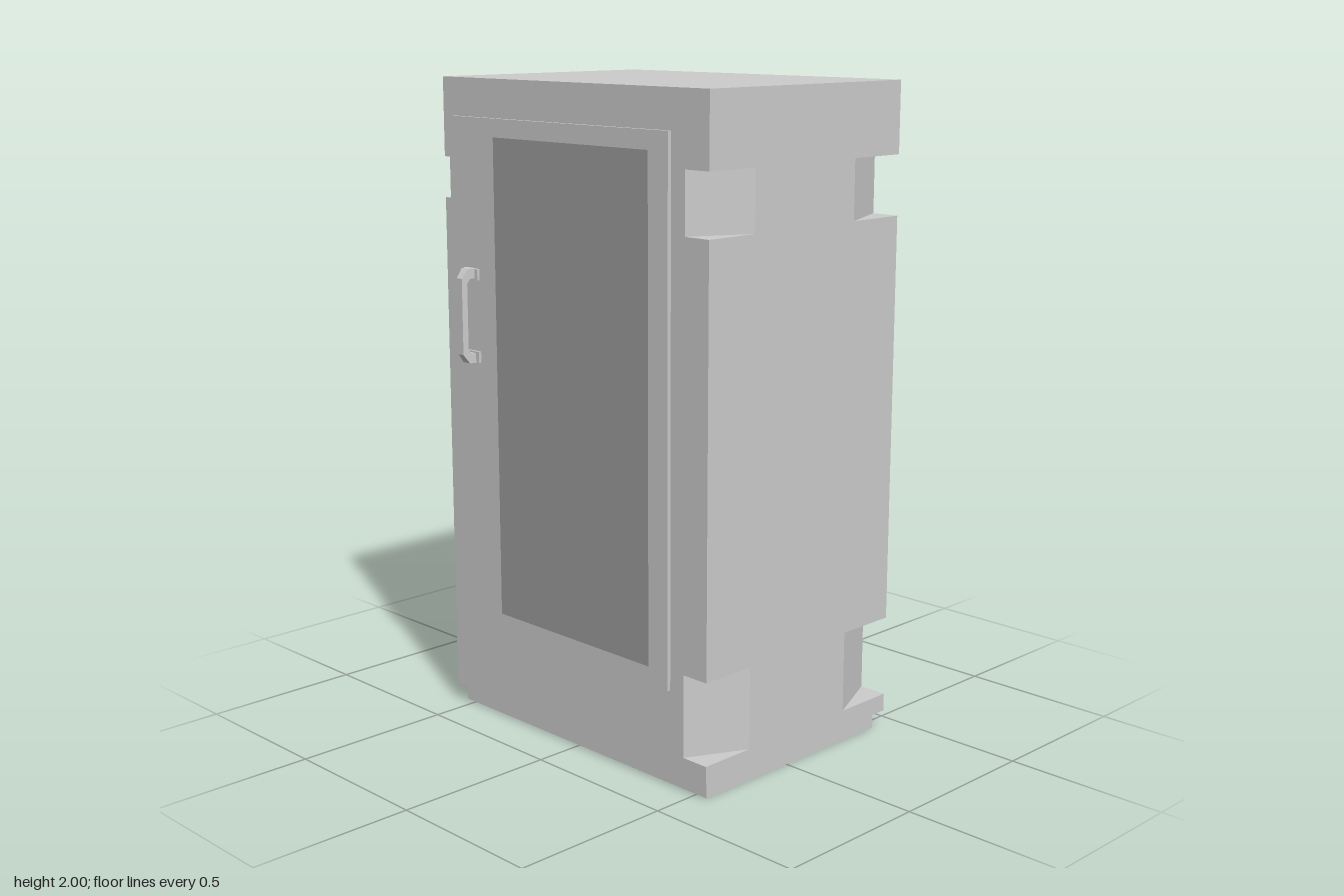
import * as THREE from 'three';
import { mergeGeometries } from 'three/addons/utils/BufferGeometryUtils.js';

const grey = new THREE.MeshStandardMaterial({ color: 0xcccccc });
const darkGrey = new THREE.MeshStandardMaterial({ color: 0x9e9e9e });

// Body half sizes, height range and z centre
const X = 0.56, Z = 0.4, Y0 = 0.055, Y1 = 2, ZC = -0.0325;
const FRONT = ZC + Z, DOOR_FRONT = FRONT + 0.012;

function add(parent, name, geometry, material = grey) {
  const mesh = new THREE.Mesh(geometry, material);
  mesh.name = name;
  parent.add(mesh);
  return mesh;
}

function box(x0, x1, y0, y1, z0, z1) {
  return new THREE.BoxGeometry(x1 - x0, y1 - y0, z1 - z0)
    .translate((x0 + x1) / 2, (y0 + y1) / 2, (z0 + z1) / 2);
}

function rect(Kind, x0, x1, y0, y1) {
  return new Kind([[x0, y0], [x1, y0], [x1, y1], [x0, y1]].map(p => new THREE.Vector2(...p)));
}

// Slanted cut-outs on the vertical corners: large hinge cuts right, a small latch cut left
const hingeCuts = (dz) => [
  { y0: 0.11, y1: 0.36, dx: 0.09, dz },
  { y0: 1.605, y1: 1.785, dx: 0.09, dz },
];
const latchCuts = [{ y0: 1.635, y1: 1.76, dx: 0.025, dz: 0.02 }];
const corners = [
  { sx: 1, sz: 1, cuts: hingeCuts(0.18) },
  { sx: 1, sz: -1, cuts: hingeCuts(0.2) },
  { sx: -1, sz: 1, cuts: latchCuts },
  { sx: -1, sz: -1, cuts: latchCuts },
];
const [rightFront, rightBack, leftFront, leftBack] = corners;

// One wall: a rectangle with the cut-outs taken from its two upright edges
function wall(half, depth, angle, leftEdge, rightEdge, key) {
  const pts = [[-half, Y0], [half, Y0]];
  for (const c of rightEdge.cuts)
    pts.push([half, c.y0], [half - c[key], c.y0], [half - c[key], c.y1], [half, c.y1]);
  pts.push([half, Y1], [-half, Y1]);
  for (const c of [...leftEdge.cuts].reverse())
    pts.push([-half, c.y1], [-half + c[key], c.y1], [-half + c[key], c.y0], [-half, c.y0]);
  const shape = new THREE.Shape(pts.map(p => new THREE.Vector2(...p)));
  return new THREE.ShapeGeometry(shape).translate(0, 0, depth).rotateY(angle);
}

// Slanted face and two triangular ledges of a cut-out
function cutFaces({ sx, sz }, { y0, y1, dx, dz }) {
  const a = y => [sx * (X - dx), y, sz * Z];
  const b = y => [sx * X, y, sz * (Z - dz)];
  const c = y => [sx * X, y, sz * Z];
  const tris = [
    [a(y0), b(y0), b(y1)], [a(y0), b(y1), a(y1)],
    [a(y0), c(y0), b(y0)], [a(y1), b(y1), c(y1)],
  ];
  if (sx * sz < 0) tris.forEach(t => t.reverse());
  const g = new THREE.BufferGeometry();
  g.setAttribute('position', new THREE.Float32BufferAttribute(tris.flat(2), 3));
  g.computeVertexNormals();
  return g;
}

function bodyGeometry() {
  const parts = [
    wall(X, Z, 0, leftFront, rightFront, 'dx'),
    wall(X, Z, Math.PI, rightBack, leftBack, 'dx'),
    wall(Z, X, Math.PI / 2, rightFront, rightBack, 'dz'),
    wall(Z, X, -Math.PI / 2, leftBack, leftFront, 'dz'),
    new THREE.PlaneGeometry(2 * X, 2 * Z).rotateX(-Math.PI / 2).translate(0, Y1, 0),
    new THREE.PlaneGeometry(2 * X, 2 * Z).rotateX(Math.PI / 2).translate(0, Y0, 0),
  ].map(g => g.toNonIndexed());
  for (const corner of corners)
    for (const cut of corner.cuts) parts.push(cutFaces(corner, cut));
  parts.forEach(g => g.deleteAttribute('uv'));
  return mergeGeometries(parts).translate(0, 0, ZC);
}

// Grip: side profile with bevelled corners, narrowing away from the door
function gripGeometry() {
  const path = (Kind, pts) => new Kind(pts.map(p => new THREE.Vector2(...p)));
  const h = 0.145, reach = 0.052;
  const shape = path(THREE.Shape, [
    [0, -h], [0.03, -h], [reach, -h + 0.028], [reach, h - 0.028], [0.03, h], [0, h],
    [0, h - 0.03], [0.024, h - 0.03], [0.034, h - 0.045],
    [0.034, -h + 0.045], [0.024, -h + 0.03], [0, -h + 0.03],
  ]);
  const g = new THREE.ExtrudeGeometry(shape, { depth: 1, bevelEnabled: false });
  const p = g.attributes.position;
  for (let i = 0; i < p.count; i++) {
    const out = p.getX(i), side = 0.5 - p.getZ(i);
    const width = 0.042 - 0.018 * (out / reach);
    p.setXYZ(i, side * width, p.getY(i), out);
  }
  // Swapping the two axes keeps the outward side by mirroring the width
  g.computeVertexNormals();
  return g;
}

export function createModel() {
  const model = new THREE.Group();
  model.name = 'cabinet';

  add(model, 'body', bodyGeometry());
  add(model, 'plinth', box(-0.54, 0.54, 0, Y0, -0.402, 0.343));

  // Door frame with a flush pane
  const door = new THREE.Group();
  door.name = 'door';
  model.add(door);
  const frame = rect(THREE.Shape, -0.52, 0.417, 0.3, 1.885);
  frame.holes.push(rect(THREE.Path, -0.315, 0.34, 0.355, 1.83));
  const frameGeo = new THREE.ExtrudeGeometry(frame, { depth: DOOR_FRONT - FRONT, bevelEnabled: false });
  add(door, 'doorFrame', frameGeo.translate(0, 0, FRONT));
  add(door, 'doorPane', box(-0.315, 0.34, 0.355, 1.83, FRONT, DOOR_FRONT), darkGrey);

  // Handle with a mounting plate at each end
  const handle = new THREE.Group();
  handle.name = 'handle';
  handle.position.set(-0.423, 1.287, DOOR_FRONT);
  door.add(handle);
  add(handle, 'grip', gripGeometry());
  for (const s of [-1, 1])
    add(handle, 'mountingPlate', box(-0.033, 0.033, -0.017, 0.017, 0, 0.009)).position.y = s * 0.127;

  return model;
}
